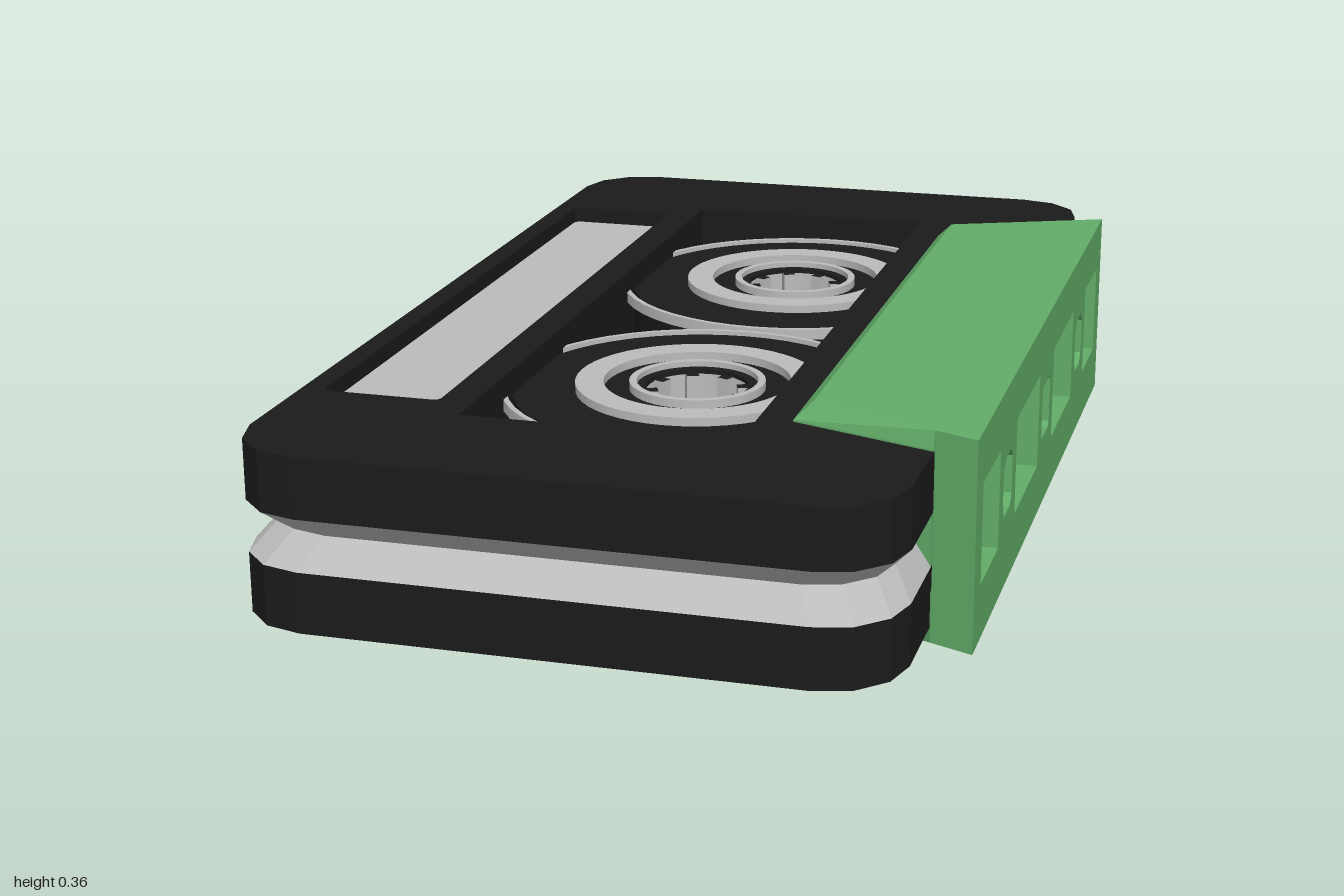
import * as THREE from 'three';
import { toCreasedNormals } from 'three/addons/utils/BufferGeometryUtils.js';
import { ConvexGeometry } from 'three/addons/geometries/ConvexGeometry.js';

const mat = (name, color) => Object.assign(new THREE.MeshStandardMaterial({ color }), { name });

// Outline of a rectangle with rounded corners
function rect(cx, cy, hw, hh, r = 0, seg = 3) {
  const pts = [];
  [[1, 1], [-1, 1], [-1, -1], [1, -1]].forEach(([sx, sy], q) => {
    const steps = r ? seg : 0;
    for (let i = 0; i <= steps; i++) {
      const a = (q + (steps ? i / steps : 0)) * Math.PI / 2;
      pts.push(new THREE.Vector2(
        cx + sx * (hw - r) + (r ? r * Math.cos(a) : 0),
        cy + sy * (hh - r) + (r ? r * Math.sin(a) : 0)));
    }
  });
  return pts;
}

function extrude(outline, holes, depth, steps = 1) {
  const shape = new THREE.Shape(outline);
  shape.holes = holes.map(h => new THREE.Path(h));
  return new THREE.ExtrudeGeometry(shape, { depth, steps, bevelEnabled: false });
}

// Slab lying flat between two heights
const slab = (outline, holes, y0, y1, steps) =>
  extrude(outline, holes, y1 - y0, steps).rotateX(-Math.PI / 2).translate(0, y0, 0);

// Flat ring with rectangular section
function ring(ri, ro, y0, y1) {
  const pts = [[ri, y0], [ro, y0], [ro, y1], [ri, y1], [ri, y0]].map(p => new THREE.Vector2(...p));
  return toCreasedNormals(new THREE.LatheGeometry(pts, 48), 0.5);
}

export function createModel() {
  const black = mat('black plastic', 0x1b1b1b);
  const grey = mat('light grey', 0xbabcbb);
  const green = mat('green', 0x63ad69);
  const model = new THREE.Group();
  const add = (name, geometry, material, parent = model) => {
    const mesh = new THREE.Mesh(geometry, material);
    mesh.name = name;
    parent.add(mesh);
    return mesh;
  };

  const CX = -0.04, REEL_X = 0.02, REEL_Z = 0.355;
  const outline = rect(CX, 0, 0.55, 1, 0.13);
  const windowHole = rect(CX, 0, 0.24, 0.733);
  const frameOutline = rect(CX, 0, 0.25, 0.743);
  const labelHole = rect(-0.445, 0, 0.105, 0.67, 0.012, 2);

  // Shell halves
  add('topShell', slab(outline, [windowHole, labelHole], 0.225, 0.33), black);
  add('bottomShell', slab(outline, [windowHole], 0.03, 0.135), black);
  add('label', new THREE.BoxGeometry(0.22, 0.075, 1.36).translate(-0.445, 0.2625, 0), grey);

  // Core with a V groove round its rim
  const core = slab(outline, [frameOutline], 0.135, 0.225, 2);
  const p = core.attributes.position;
  for (let i = 0; i < p.count; i++) {
    const x = p.getX(i), z = p.getZ(i);
    const onRim = Math.abs(x - CX) > 0.4 || Math.abs(z) > 0.8;
    if (onRim && Math.abs(p.getY(i) - 0.18) < 0.01) {
      p.setX(i, CX + (x - CX) * 0.936);
      p.setZ(i, z * 0.945);
    }
  }
  core.computeVertexNormals();
  add('core', core, grey);

  // Inner window walls and the floor behind the reels
  add('windowFrame', slab(frameOutline, [windowHole], 0.135, 0.225), black);
  add('windowFloor', new THREE.BoxGeometry(0.48, 0.01, 1.466).translate(CX, 0.18, 0), grey);

  // Black lining of the groove on one long edge
  const lining = [[-0.59, 0.135], [-0.5, 0.135], [-0.5, 0.225], [-0.59, 0.225], [-0.558, 0.18]]
    .map(q => new THREE.Vector2(...q));
  add('grooveLining', extrude(lining, [], 1.47).translate(0, 0, -0.735), black);

  // Reels, nearly as tall as the shell
  for (const s of [-1, 1]) {
    const reel = new THREE.Group();
    reel.name = s < 0 ? 'backReel' : 'frontReel';
    reel.position.set(REEL_X, 0, s * REEL_Z);
    model.add(reel);
    add('tapeRim', ring(0.335, 0.345, 0.27, 0.29), grey, reel);
    add('tape', ring(0.115, 0.325, 0.085, 0.285), black, reel);
    add('reelRing', ring(0.165, 0.215, 0.28, 0.3), grey, reel);
    add('hubTube', ring(0.107, 0.12, 0.07, 0.3), grey, reel);
    add('hubCollar', ring(0.09, 0.108, 0.282, 0.29), black, reel);
    add('lowerFlange', ring(0.165, 0.345, 0.07, 0.09), grey, reel);
    add('lowerReelRing', ring(0.165, 0.215, 0.06, 0.075), green, reel);
    for (let i = 0; i < 8; i++) {
      const tooth = new THREE.BoxGeometry(0.04, 0.2, 0.022).translate(0.09, 0.184, 0);
      add('hubTooth', tooth, [grey, grey, black, grey, grey, grey], reel).rotation.y = (i + 0.5) * Math.PI / 4;
    }
  }

  // Head block: tapered back part and a perforated front part
  const halfWidth = x => 0.61 + 0.125 * (x - 0.29) / 0.295;
  const X0 = 0.51, X1 = 0.585;
  const corners = [];
  for (const [x, hz, y0, y1] of [
    [X0, halfWidth(X0), 0, 0.363], [X0, 0.712, 0.03, 0.333],
    [0.29, 0.61, 0, 0.363], [0.26, 0.625, 0.03, 0.333]]) {
    for (const s of [-1, 1]) {
      corners.push(new THREE.Vector3(x, y0, s * hz), new THREE.Vector3(x, y1, s * hz));
    }
  }
  add('headBack', new ConvexGeometry(corners), green);

  const holes = [rect(0, 0.185, 0.045, 0.05, 0.008, 1)];
  for (const s of [-1, 1]) {
    holes.push(
      rect(s * 0.2125, 0.185, 0.1275, 0.087),
      rect(s * 0.425, 0.185, 0.045, 0.052, 0.018, 1),
      rect(s * 0.592, 0.185, 0.083, 0.087));
  }
  const face = extrude(rect(0, 0.1815, 0.735, 0.1815), holes, X1 - X0)
    .rotateY(Math.PI / 2).translate(X0, 0, 0);
  const fp = face.attributes.position;
  for (let i = 0; i < fp.count; i++) {
    const z = fp.getZ(i);
    if (Math.abs(z) > 0.72) fp.setZ(i, Math.sign(z) * halfWidth(fp.getX(i)));
  }
  face.computeVertexNormals();
  add('headFace', face, green);
  add('headCavity', new THREE.BoxGeometry(0.02, 0.25, 1.37).translate(0.505, 0.185, 0), black);

  return model;
}
